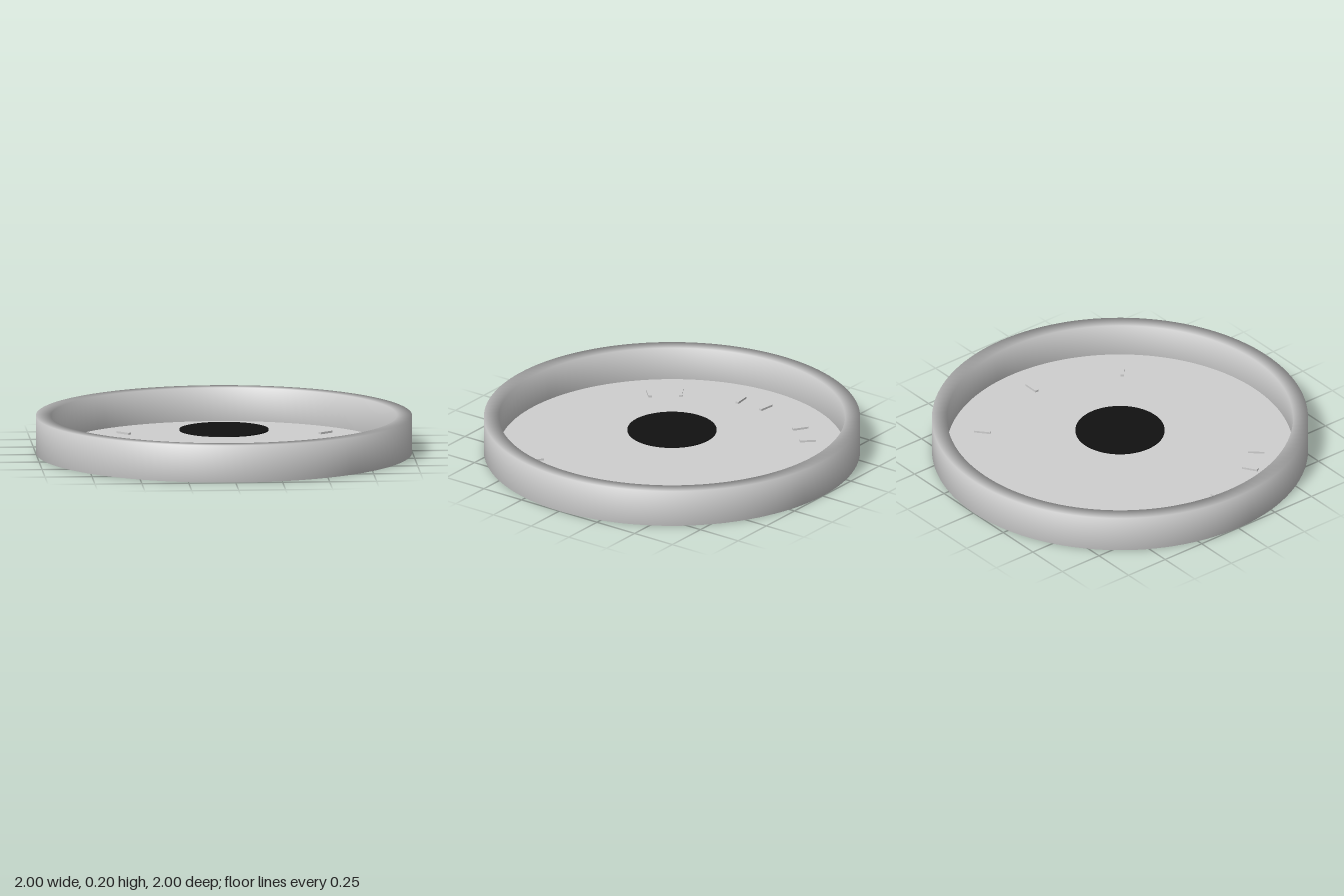
import * as THREE from 'three';

export function createModel() {
  const model = new THREE.Group();
  const grey = new THREE.MeshStandardMaterial({ color: 0xd0d0d0 });
  grey.name = 'light grey';
  const black = new THREE.MeshStandardMaterial({ color: 0x111111 });
  black.name = 'black';

  const add = (name, geometry, material, y) => {
    const mesh = new THREE.Mesh(geometry, material);
    mesh.name = name;
    mesh.position.y = y;
    model.add(mesh);
    return mesh;
  };

  // Raised rim: rectangular section with softly blended corner normals
  const section = [[0.96, 0], [1, 0], [1, 0.2], [0.92, 0.2], [0.92, 0], [0.96, 0]]
    .map(([r, y]) => new THREE.Vector2(r, y));
  add('rim', new THREE.LatheGeometry(section, 128), grey, 0);

  // Floor plate inside the rim, and the flat underside
  add('floor', new THREE.CircleGeometry(0.94, 128).rotateX(-Math.PI / 2), grey, 0.02);
  add('underside', new THREE.CircleGeometry(1, 128).rotateX(Math.PI / 2), grey, -0.0005);

  // Black disc held above the middle of the floor
  add('centreDisc', new THREE.CylinderGeometry(0.237, 0.237, 0.006, 96), black, 0.124);

  // Radial tick marks: angle in degrees from +x, distance from the centre
  const ticks = [[0, 0.745], [40, 0.745], [-40, 0.745]];
  for (const a of [6.5, 33, 46.5]) ticks.push([180 - a, 0.727], [180 + a, 0.727]);
  const tickGeometry = new THREE.BoxGeometry(0.086, 0.012, 0.018);
  for (const [degrees, radius] of ticks) {
    const a = THREE.MathUtils.degToRad(degrees);
    const tick = add('tickMark', tickGeometry, grey, 0.025);
    tick.position.x = radius * Math.cos(a);
    tick.position.z = -radius * Math.sin(a);
    tick.rotation.y = a;
  }
  return model;
}
